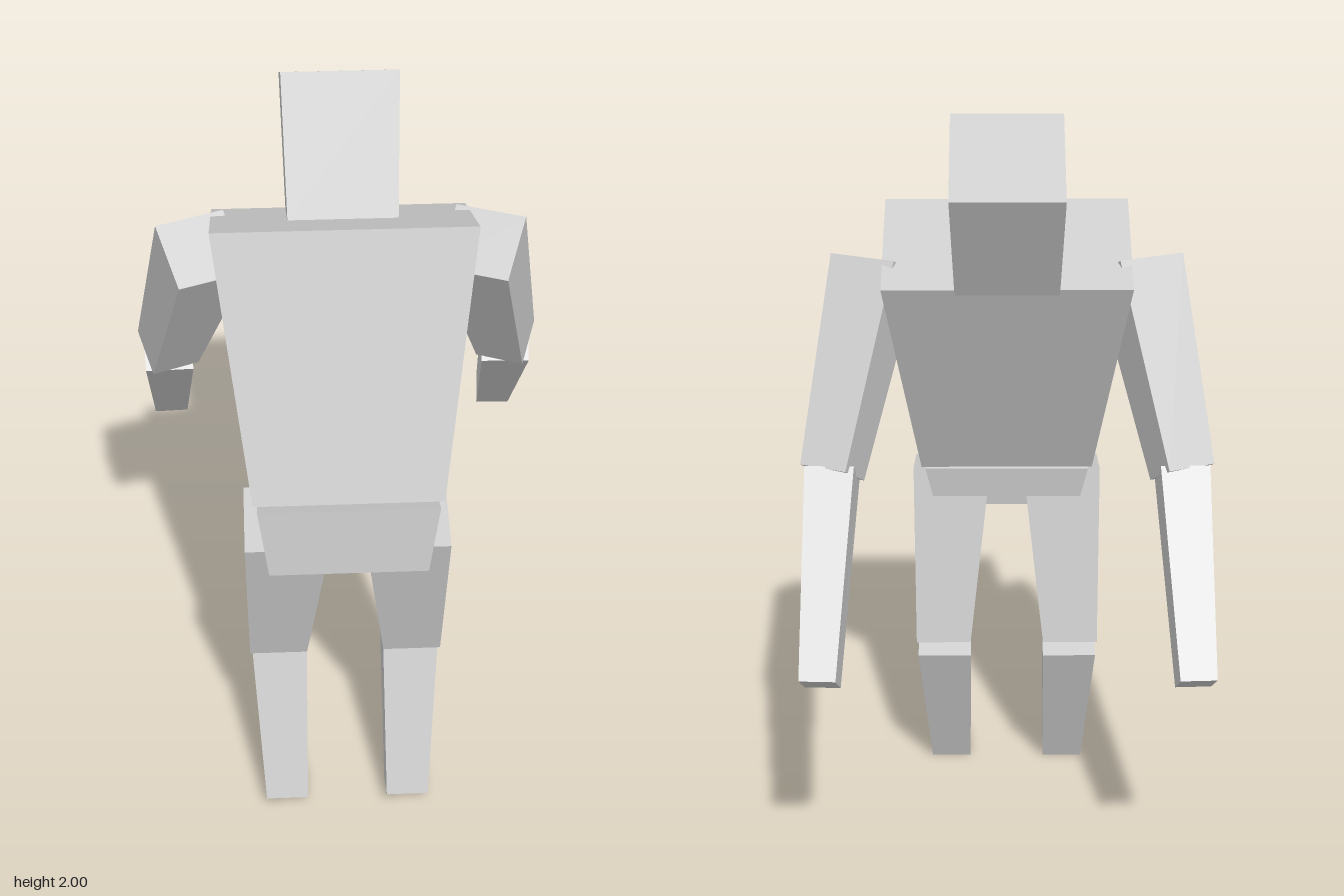
import * as THREE from 'three';

const grey = new THREE.MeshStandardMaterial({ color: 0xcccccc });
grey.name = 'plain grey';

// Six-sided block from two rings of corners, each ordered:
// +x front, +x back, -x back, -x front. side = -1 mirrors it in x.
function block(name, top, bottom, side = 1) {
  const geo = new THREE.BoxGeometry(1, 1, 1).toNonIndexed();
  const pos = geo.attributes.position;
  for (let i = 0; i < pos.count; i++) {
    const ring = pos.getY(i) > 0 ? top : bottom;
    const front = pos.getZ(i) > 0;
    const plusX = pos.getX(i) * side > 0;
    const [x, y, z] = ring[plusX ? (front ? 0 : 1) : (front ? 3 : 2)];
    pos.setXYZ(i, x * side, y, z);
  }
  geo.computeVertexNormals();
  const mesh = new THREE.Mesh(geo, grey);
  mesh.name = name;
  return mesh;
}

// Ring between x0 and x1 with a front and a back [y, z]
const ring = (x0, x1, front, back) =>
  [[x1, ...front], [x1, ...back], [x0, ...back], [x0, ...front]];

export function createModel() {
  const model = new THREE.Group();
  model.name = 'blockFigure';

  // Leaning trunk and head
  model.add(
    block('head',
      ring(-0.137, 0.137, [1.998, 0.032], [1.857, -0.233]),
      ring(-0.129, 0.129, [1.693, 0.18], [1.571, -0.063])),
    block('torso',
      ring(-0.31, 0.31, [1.717, 0.265], [1.582, -0.057]),
      ring(-0.229, 0.229, [1.088, 0.485], [0.982, 0.233])),
    block('pelvis',
      ring(-0.219, 0.219, [1.074, 0.494], [0.975, 0.236]),
      ring(-0.194, 0.194, [0.889, 0.507], [0.863, 0.25])));

  for (const [label, side] of [['left', 1], ['right', -1]]) {
    // Bent leg
    const leg = new THREE.Group();
    leg.name = label + 'Leg';
    leg.add(
      block('thigh',
        ring(0.045, 0.252, [0.922, 0.457], [0.965, 0.26]),
        ring(0.1, 0.249, [0.455, 0.323], [0.476, 0.176]), side),
      block('shin',
        ring(0.1, 0.245, [0.483, 0.302], [0.434, 0.176]),
        ring(0.106, 0.216, [0.045, 0.457], [0.003, 0.353]), side));

    // Arm swung back and out
    const arm = new THREE.Group();
    arm.name = label + 'Arm';
    arm.add(
      block('upperArm',
        [[0.386, 1.54, 0.227], [0.44, 1.63, 0.09], [0.28, 1.63, 0.025], [0.226, 1.54, 0.162]],
        [[0.476, 1.093, -0.053], [0.515, 1.16, -0.152], [0.4, 1.16, -0.2], [0.361, 1.093, -0.101]], side),
      block('forearm',
        [[0.496, 1.085, -0.078], [0.503, 1.165, -0.173], [0.38, 1.165, -0.178], [0.374, 1.085, -0.083]],
        [[0.5, 0.685, -0.433], [0.507, 0.742, -0.504], [0.417, 0.742, -0.508], [0.411, 0.685, -0.437]], side));
    model.add(leg, arm);
  }
  return model;
}
